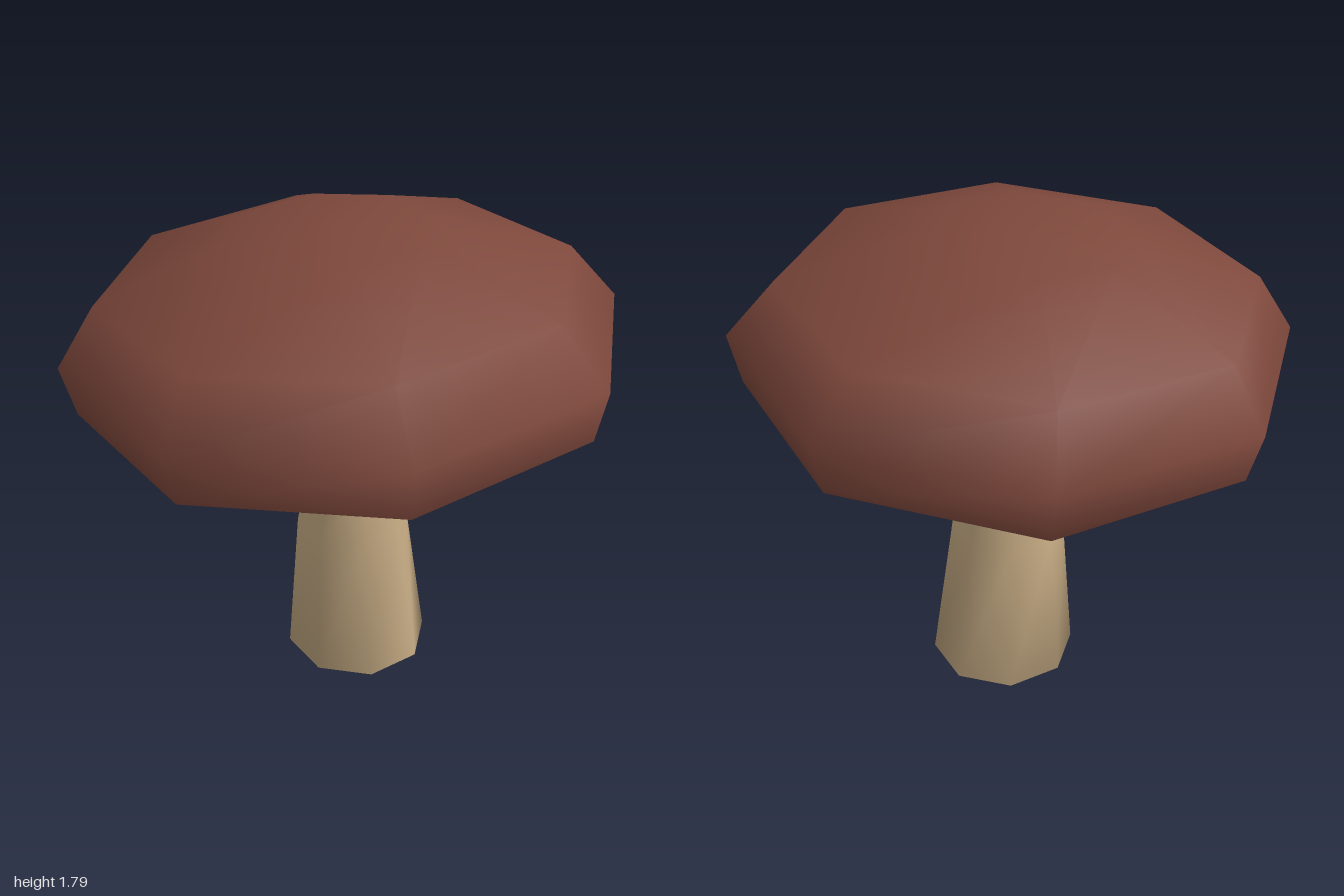
import * as THREE from 'three';

const SIDES = 8;
const TURN = 0.061;

// Smooth skin over octagonal rings [centreX, centreZ, y, radius, tiltX, tiltZ], listed from bottom to top.
// It is closed by a flat base, or by a peak point [x, y, z] when one is given.
function loft(rings, peak) {
  const pos = [], idx = [];
  for (const [cx, cz, y, r, tx = 0, tz = 0] of rings) {
    for (let i = 0; i < SIDES; i++) {
      const a = TURN + (i / SIDES) * Math.PI * 2;
      const x = r * Math.cos(a), z = r * Math.sin(a);
      pos.push(cx + x, y + tx * x + tz * z, cz + z);
    }
  }
  for (let j = 0; j < rings.length - 1; j++) {
    for (let i = 0; i < SIDES; i++) {
      const a = j * SIDES + i, b = j * SIDES + (i + 1) % SIDES;
      idx.push(a, a + SIDES, b, b, a + SIDES, b + SIDES);
    }
  }
  if (peak) {
    const base = (rings.length - 1) * SIDES, top = pos.length / 3;
    pos.push(...peak);
    for (let i = 0; i < SIDES; i++) idx.push(base + i, top, base + (i + 1) % SIDES);
  } else {
    for (let i = 1; i < SIDES - 1; i++) idx.push(0, i, i + 1);
  }
  const g = new THREE.BufferGeometry();
  g.setAttribute('position', new THREE.Float32BufferAttribute(pos, 3));
  g.setIndex(idx);
  g.computeVertexNormals();
  return g;
}

export function createModel() {
  const group = new THREE.Group();
  group.name = 'mushroom';
  const add = (name, geometry, color) => {
    const mesh = new THREE.Mesh(geometry, new THREE.MeshStandardMaterial({ color, side: THREE.DoubleSide }));
    mesh.name = name;
    group.add(mesh);
  };
  const tilt = [0.042, 0.037];
  const lip = [0.005, 0.005, 1.225, 0.93, ...tilt];

  // Crooked stem flowing into the underside of the cap
  add('stemAndGills', loft([
    [0.055, -0.018, 0, 0.277],
    [0.032, -0.01, 0.6, 0.212],
    [0.025, 0.025, 0.8, 0.175],
    [0.005, 0.005, 1.29, 0.143, ...tilt],
    lip,
  ]), 0xc8ad85);

  // Tilted cap: inner lip, rim, shoulder, crown
  add('cap', loft([
    lip,
    [0.005, 0.005, 1.206, 0.957, ...tilt],
    [0, 0, 1.392, 1, ...tilt],
    [-0.02, -0.015, 1.597, 0.842, ...tilt],
    [-0.035, -0.03, 1.767, 0.357, ...tilt],
  ], [-0.035, 1.778, -0.03]), 0x7e483c);

  return group;
}
